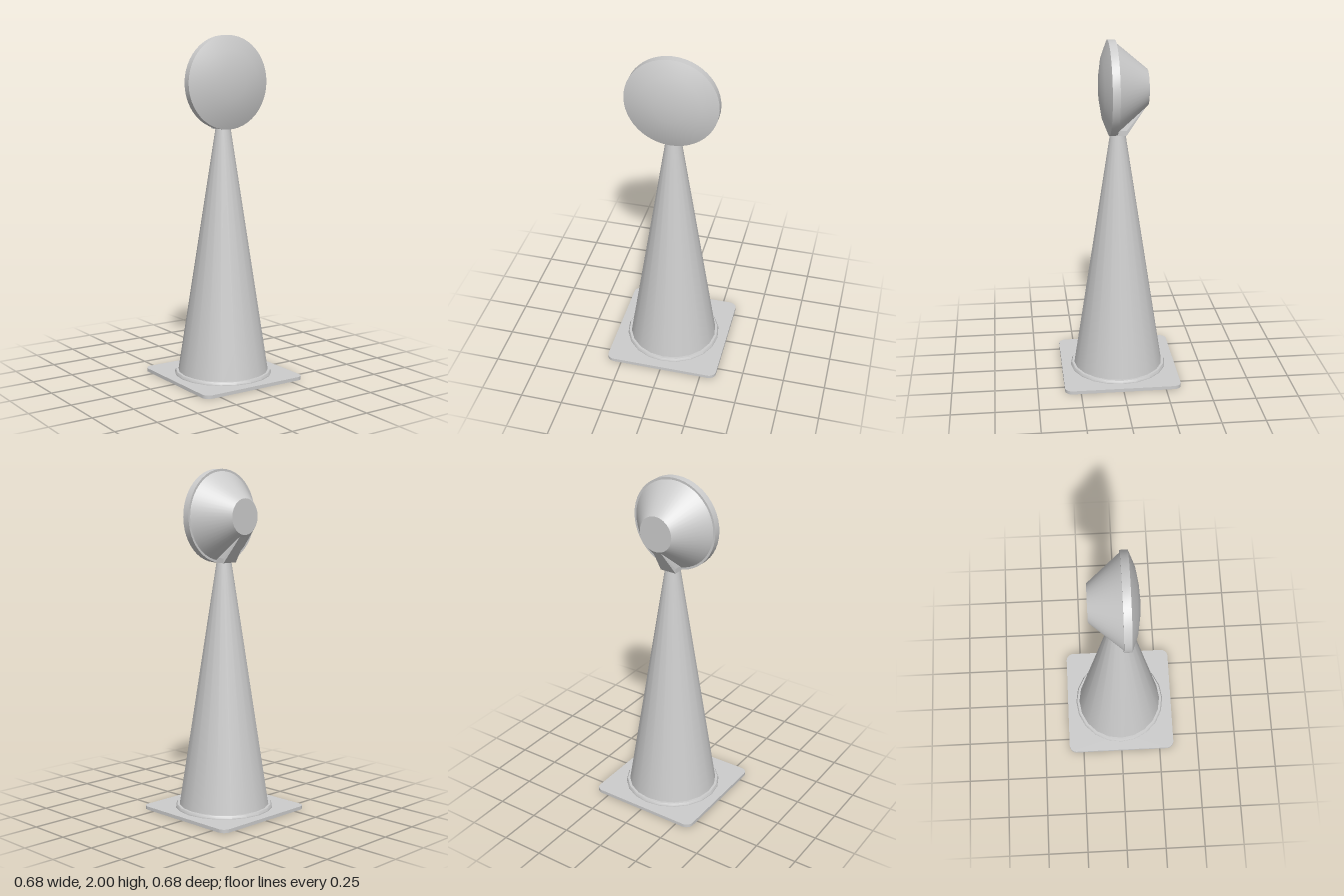
import * as THREE from 'three';
import { toCreasedNormals } from 'three/addons/utils/BufferGeometryUtils.js';
import { ConvexGeometry } from 'three/addons/geometries/ConvexGeometry.js';

const material = new THREE.MeshStandardMaterial({ color: 0xcccccc });

function addMesh(parent, name, geometry) {
  const mesh = new THREE.Mesh(geometry, material);
  mesh.name = name;
  parent.add(mesh);
  return mesh;
}

// Profile of [radius, height] pairs turned around y, with sharp edges kept
function turned(profile, segments) {
  const points = profile.map(([r, y]) => new THREE.Vector2(r, y));
  return toCreasedNormals(new THREE.LatheGeometry(points, segments), 0.5);
}

// Square plate with rounded corners and a round hole
function plateGeometry(half, corner, hole, height) {
  const shape = new THREE.Shape();
  const c = half - corner;
  [[c, c], [-c, c], [-c, -c], [c, -c]].forEach(([x, y], i) =>
    shape.absarc(x, y, corner, i * Math.PI / 2, (i + 1) * Math.PI / 2, false));
  const ring = [];
  for (let i = 0; i < 20; i++) {
    const a = i * Math.PI / 10;
    ring.push(new THREE.Vector2(Math.sin(a) * hole, Math.cos(a) * hole));
  }
  shape.holes.push(new THREE.Path(ring));
  const geometry = new THREE.ExtrudeGeometry(shape, { depth: height, bevelEnabled: false, curveSegments: 4 });
  return toCreasedNormals(geometry.rotateX(-Math.PI / 2), 0.5);
}

export function createModel() {
  const model = new THREE.Group();
  model.name = 'coneWithLamp';

  // Foot plate and the raised collar around the cone
  addMesh(model, 'basePlate', plateGeometry(0.342, 0.045, 0.28, 0.02));
  addMesh(model, 'collar', turned([
    [0.255, 0.012], [0.287, 0.012], [0.287, 0.025], [0.28, 0.038], [0.255, 0.038], [0.255, 0.012],
  ], 20));

  // Hollow cone, open at the bottom and closed at the top
  addMesh(model, 'coneBody', turned([
    [0.256, 0.012], [0.267, 0.03], [0.043, 1.475], [0, 1.475],
  ], 20));
  addMesh(model, 'coneInside', turned([
    [0, 1.45], [0.038, 1.45], [0.256, 0.012],
  ], 20));

  // Lamp: domed lens and rim in front, tapered housing behind
  const lamp = new THREE.Group();
  lamp.name = 'lamp';
  lamp.position.y = 1.733;
  model.add(lamp);
  addMesh(lamp, 'lensAndRim', turned([
    [0, 0.012], [0.268, 0.012], [0.268, 0.055], [0.18, 0.089], [0.09, 0.104], [0, 0.11],
  ], 48)).rotation.x = Math.PI / 2;
  addMesh(lamp, 'housing', turned([
    [0, -0.168], [0.103, -0.168], [0.245, 0], [0.256, 0.013],
  ], 48)).rotation.x = Math.PI / 2;

  // Wedge-shaped bracket joining the housing to the cone tip
  const corners = [];
  for (const s of [-1, 1]) {
    for (const [x, y, z] of [
      [0.025, 1.637, -0.166], [0.05, 1.495, -0.046], [0.05, 1.467, -0.046],
      [0.05, 1.467, 0.012], [0.05, 1.495, 0.012], [0.025, 1.64, 0.012],
    ]) corners.push(new THREE.Vector3(s * x, y, z));
  }
  addMesh(model, 'bracket', new ConvexGeometry(corners));

  return model;
}
